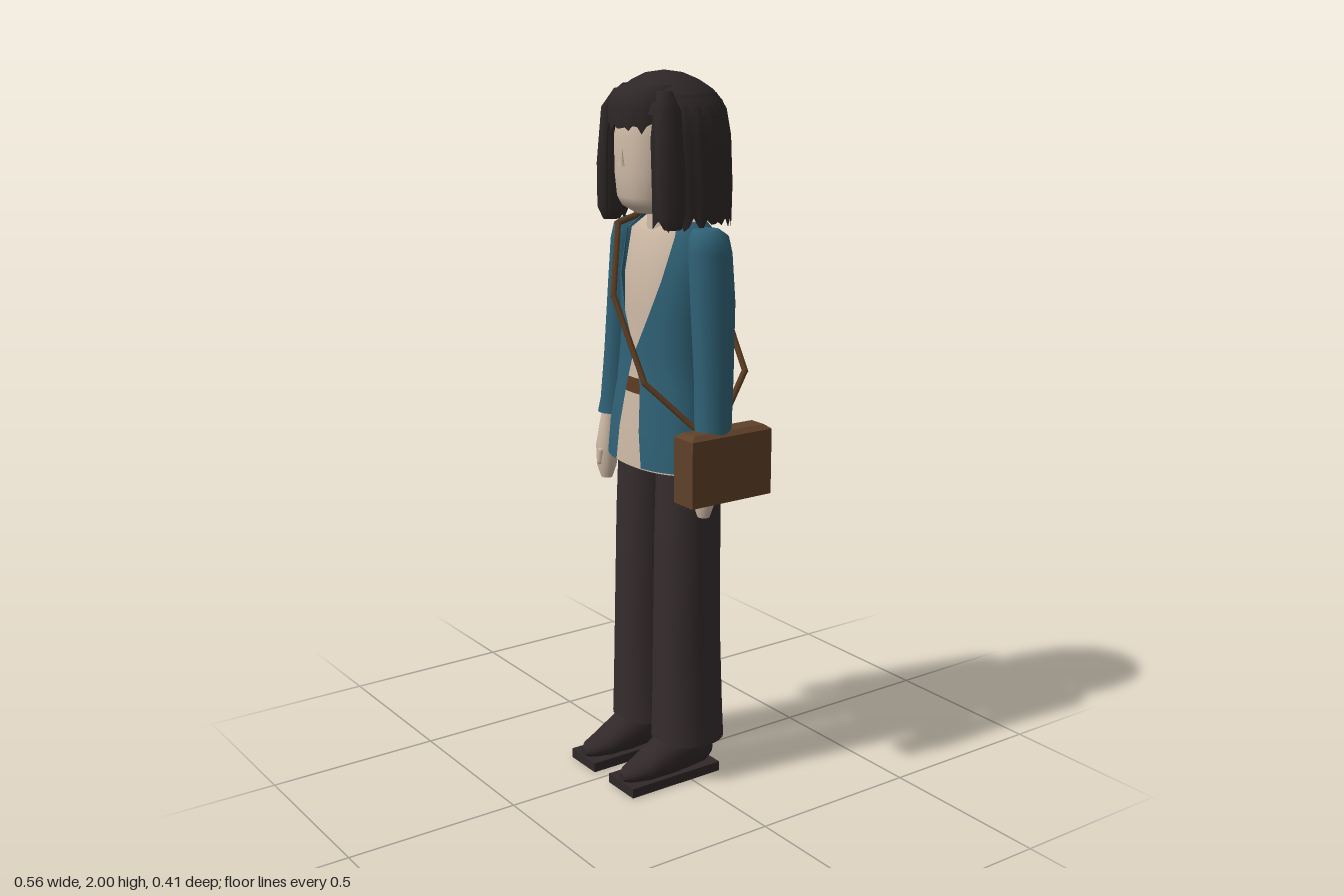
import * as THREE from 'three';

const mat = (name, color, side = THREE.FrontSide) => {
  const m = new THREE.MeshStandardMaterial({ color, side });
  m.name = name;
  return m;
};

// Skin through cross-sections [y, cx, rx, cz, rz, gap], listed top to bottom.
// gap is the half width of an opening at the front; roundness < 1 squares the section.
function loft(rows, { n = 24, roundness = 1, arc = 0, ripple = 0, jag = 0, capTop = false, capEnd = false } = {}) {
  const list = rows.map((r) => [...r]);
  const flat = (r) => [r[0], r[1], 0, r[3], 0];
  if (capTop) list.unshift(flat(list[0]), [...list[0]]);
  if (capEnd) list.push([...list[list.length - 1]], flat(list[list.length - 1]));
  const closed = !arc && rows[0][5] === undefined;
  const cols = closed ? n : n + 1;
  const pos = [], index = [];
  const pw = (v) => Math.sign(v) * Math.pow(Math.abs(v), roundness);
  list.forEach(([y, cx, rx, cz, rz, gap], i) => {
    const start = gap === undefined ? 0 : Math.asin(Math.min(1, Math.pow(gap / rx, 1 / roundness)));
    for (let j = 0; j < cols; j++) {
      const t = j / n;
      const a = arc ? -arc + 2 * arc * t : start + (Math.PI * 2 - 2 * start) * t;
      const k = 1 + (i > 0 ? ripple * Math.sin(j * 2.1) : 0);
      const drop = i === list.length - 1 ? jag * ((j % 3) / 2 + 0.4 * Math.sin(j * 1.7)) : 0;
      pos.push(cx + rx * k * pw(Math.sin(a)), y + drop, cz + rz * k * pw(Math.cos(a)));
    }
  });
  for (let i = 0; i < list.length - 1; i++) {
    for (let j = 0; j < n; j++) {
      const k = (j + 1) % cols;
      const a = i * cols + j, b = a + cols, c = (i + 1) * cols + k, d = i * cols + k;
      index.push(a, b, c, a, c, d);
    }
  }
  const g = new THREE.BufferGeometry();
  g.setAttribute('position', new THREE.Float32BufferAttribute(pos, 3));
  g.setIndex(index);
  g.computeVertexNormals();
  return g;
}

export function createModel() {
  const root = new THREE.Group();
  root.name = 'standingWoman';
  const skin = mat('skin', 0xcdb9a5);
  const hair = mat('darkHair', 0x2e2727, THREE.DoubleSide);
  const cloth = mat('tealJacket', 0x2f6175, THREE.DoubleSide);
  const trouser = mat('darkTrousers', 0x352c2d);
  const shoe = mat('darkShoes', 0x312829);
  const leather = mat('brownLeather', 0x5f4129);
  const strapMat = mat('strapLeather', 0x5a3a20);

  const add = (name, geometry, material, x = 0, y = 0, z = 0, parent = root) => {
    const m = new THREE.Mesh(geometry, material);
    m.name = name;
    m.position.set(x, y, z);
    parent.add(m);
    return m;
  };

  // Jacket, open down the front
  const jacketRows = [
    [1.605, 0, 0.115, -0.045, 0.065, 0.085],
    [1.57, 0, 0.16, -0.04, 0.092, 0.113],
    [1.45, 0, 0.168, -0.038, 0.116, 0.095],
    [1.35, 0, 0.16, -0.035, 0.117, 0.055],
    [1.25, 0, 0.157, -0.03, 0.114, 0.003],
    [1.15, 0, 0.168, -0.025, 0.115, 0.032],
    [1.03, 0, 0.188, -0.018, 0.124, 0.047],
    [0.93, 0, 0.2, -0.015, 0.125, 0.06],
  ];
  add('jacketBody', loft(jacketRows, { n: 40, roundness: 0.9 }), cloth);

  // Body beneath the jacket
  const bodyRows = jacketRows.map(([y, x, rx, z, rz]) => [y, x, rx - 0.014, z, rz - 0.012]);
  bodyRows[bodyRows.length - 1][0] = 0.922;
  add('torso', loft(bodyRows, { n: 32, roundness: 0.9, capTop: true, capEnd: true }), skin);
  add('belt', loft([[1.172, 0, 0.158, -0.026, 0.109], [1.13, 0, 0.163, -0.024, 0.111]],
    { n: 32, roundness: 0.9 }), strapMat);
  add('neck', new THREE.CylinderGeometry(0.046, 0.055, 0.13, 20), skin, 0, 1.605, -0.02);

  // Head and nose
  add('head', loft([
    [1.95, 0, 0.05, -0.01, 0.06], [1.91, 0, 0.098, -0.005, 0.108], [1.83, 0, 0.11, 0, 0.121],
    [1.73, 0, 0.106, 0.005, 0.115], [1.67, 0, 0.097, 0.01, 0.105], [1.645, 0, 0.085, 0.012, 0.09],
    [1.625, 0, 0.045, 0.015, 0.055],
  ], { n: 28, roundness: 0.85, capTop: true, capEnd: true }), skin);
  const nose = add('nose', new THREE.ConeGeometry(0.013, 0.045, 4), skin, 0, 1.775, 0.121);
  nose.rotation.y = Math.PI / 4;

  // Hair: crown, long curtain and fringe
  add('hairCrown', loft([
    [2, 0, 0.001, -0.015, 0.001], [1.993, 0, 0.05, -0.015, 0.05], [1.975, 0, 0.09, -0.018, 0.09],
    [1.95, 0, 0.126, -0.022, 0.124], [1.92, 0, 0.15, -0.026, 0.146], [1.89, 0, 0.163, -0.028, 0.155],
  ], { n: 40 }), hair);
  add('hairCurtain', loft([
    [1.94, 0, 0.135, -0.023, 0.133, 0.09], [1.9, 0, 0.16, -0.028, 0.152, 0.1],
    [1.83, 0, 0.171, -0.03, 0.163, 0.102], [1.7, 0, 0.178, -0.031, 0.166, 0.108],
    [1.595, 0, 0.178, -0.031, 0.163, 0.108],
  ], { n: 60, ripple: 0.014, jag: 0.022 }), hair);
  for (const s of [-1, 1]) {
    add(s > 0 ? 'leftSideLock' : 'rightSideLock', loft([
      [1.95, s * 0.1, 0.02, 0.055, 0.02], [1.9, s * 0.125, 0.03, 0.06, 0.04],
      [1.75, s * 0.138, 0.032, 0.06, 0.048], [1.63, s * 0.14, 0.033, 0.06, 0.045],
      [1.595, s * 0.145, 0.02, 0.06, 0.025],
    ], { n: 12, capTop: true, capEnd: true }), hair);
  }
  add('fringe', loft([
    [1.965, 0, 0.098, -0.005, 0.102], [1.94, 0, 0.112, 0.005, 0.126],
    [1.9, 0, 0.118, 0.005, 0.134], [1.845, 0, 0.116, 0.005, 0.132],
  ], { n: 24, arc: 1.35, roundness: 0.9, ripple: 0.01, jag: 0.018 }), hair);

  // Limbs, mirrored
  for (const s of [-1, 1]) {
    const side = new THREE.Group();
    side.name = s > 0 ? 'leftLimbs' : 'rightLimbs';
    root.add(side);

    add('sleeve', loft([
      [1.592, s * 0.165, 0.035, -0.035, 0.035], [1.575, s * 0.178, 0.05, -0.034, 0.055],
      [1.53, s * 0.185, 0.052, -0.034, 0.063], [1.4, s * 0.198, 0.05, -0.034, 0.066],
      [1.2, s * 0.218, 0.045, -0.024, 0.058], [1.06, s * 0.23, 0.045, -0.014, 0.053],
      [1.02, s * 0.233, 0.048, -0.01, 0.056],
    ], { n: 20, capTop: true, capEnd: true }), cloth, 0, 0, 0, side);
    add('hand', loft([
      [1.03, s * 0.235, 0.026, 0.005, 0.028], [0.98, s * 0.237, 0.03, 0.01, 0.032],
      [0.92, s * 0.237, 0.036, 0.017, 0.036], [0.86, s * 0.238, 0.032, 0.022, 0.028],
      [0.822, s * 0.238, 0.018, 0.022, 0.016],
    ], { n: 14, capEnd: true }), skin, 0, 0, 0, side);
    const thumb = add('thumb', new THREE.CapsuleGeometry(0.01, 0.035, 3, 8), skin, s * 0.232, 0.89, 0.046, side);
    thumb.rotation.z = s * 0.2;

    add('trouserLeg', loft([
      [0.96, s * 0.094, 0.09, -0.033, 0.086], [0.75, s * 0.096, 0.09, -0.028, 0.09],
      [0.45, s * 0.098, 0.09, -0.025, 0.094], [0.2, s * 0.1, 0.095, -0.027, 0.1],
      [0.115, s * 0.1, 0.099, -0.028, 0.103],
    ], { n: 28, roundness: 0.9, capTop: true, capEnd: true }), trouser, 0, 0, 0, side);

    // Shoe upper is lofted from toe to heel, then laid down along z
    const upper = loft([
      [0.202, 0, 0.014, -0.04, 0.012], [0.18, 0, 0.034, -0.043, 0.024], [0.13, 0, 0.05, -0.05, 0.04],
      [0.06, 0, 0.06, -0.07, 0.062], [0, 0, 0.059, -0.078, 0.065], [-0.07, 0, 0.052, -0.078, 0.06],
      [-0.095, 0, 0.035, -0.075, 0.045],
    ], { n: 18, capTop: true, capEnd: true });
    upper.rotateX(Math.PI / 2);
    add('shoeUpper', upper, shoe, s * 0.1, 0, 0, side);
    add('shoeSole', new THREE.BoxGeometry(0.122, 0.028, 0.305), shoe, s * 0.099, 0.014, 0.052, side);
  }

  // Shoulder bag with bevelled top and bottom
  const bag = new THREE.Group();
  bag.name = 'shoulderBag';
  root.add(bag);
  add('bagBody', new THREE.BoxGeometry(0.084, 0.184, 0.267), leather, 0.24, 0.957, -0.042, bag);
  const lid = new THREE.BoxGeometry(0.084, 0.012, 0.267);
  const p = lid.attributes.position;
  for (let i = 0; i < p.count; i++) {
    if (p.getY(i) > 0) p.setXYZ(i, p.getX(i) * 0.62, p.getY(i), p.getZ(i) * 0.88);
  }
  lid.computeVertexNormals();
  add('bagLid', lid, leather, 0.24, 1.055, -0.042, bag);

  // Strap, running over the right shoulder to the bag
  const path = [
    [0.215, 1.05, 0.015], [0.185, 1.08, 0.04], [0.1, 1.18, 0.12], [-0.045, 1.4, 0.122],
    [-0.12, 1.585, 0.055], [-0.125, 1.61, -0.04], [-0.11, 1.585, -0.14], [0.02, 1.38, -0.193],
    [0.165, 1.19, -0.172], [0.2, 1.08, -0.075], [0.215, 1.05, -0.05],
  ].map((v) => new THREE.Vector3(...v));
  for (let i = 0; i < path.length - 1; i++) {
    const dir = path[i + 1].clone().sub(path[i]);
    const mid = path[i].clone().addScaledVector(dir, 0.5);
    const seg = add('strapSegment', new THREE.CylinderGeometry(0.009, 0.009, dir.length() + 0.008, 6),
      strapMat, mid.x, mid.y, mid.z, bag);
    seg.quaternion.setFromUnitVectors(new THREE.Vector3(0, 1, 0), dir.normalize());
  }
  return root;
}
